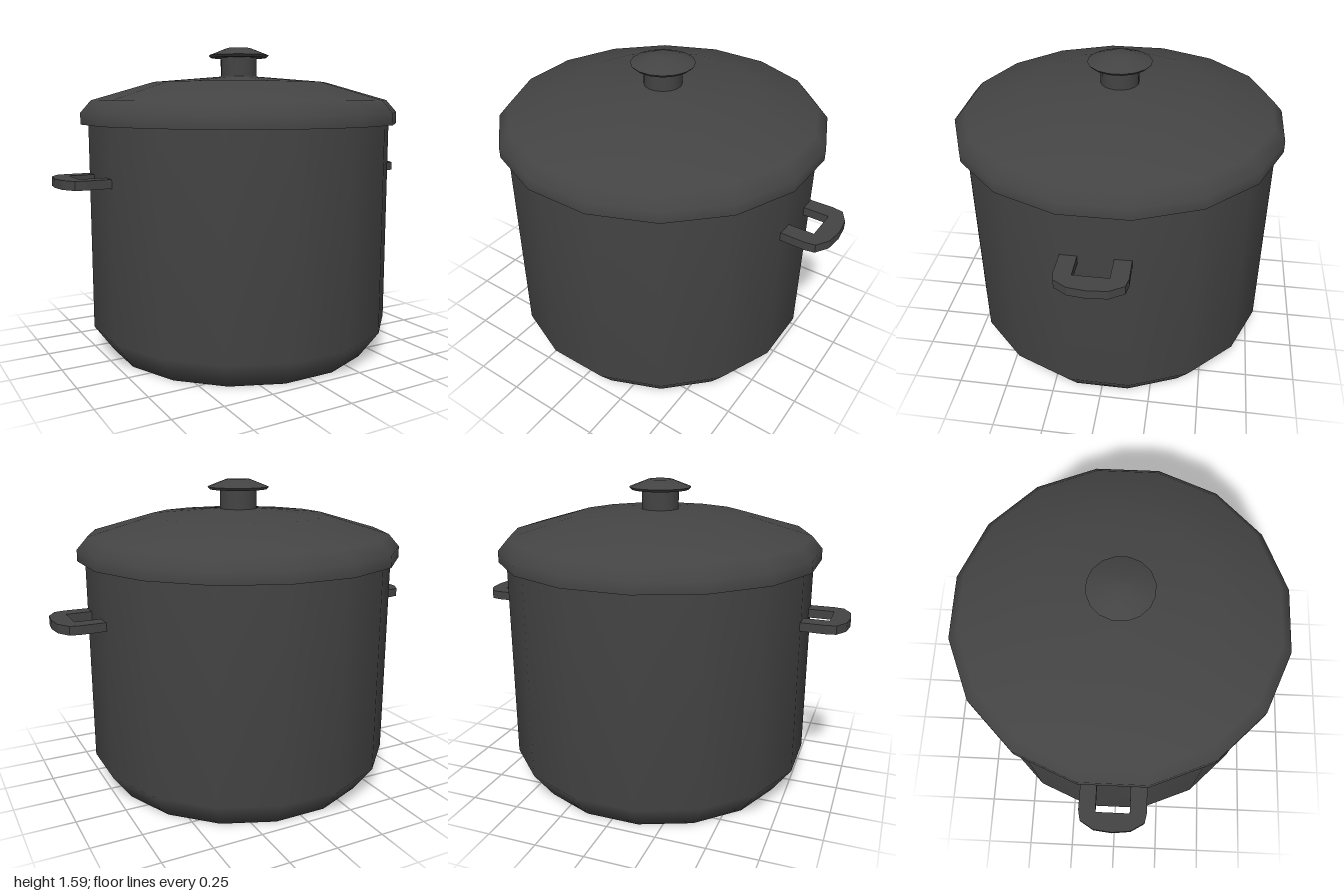
import * as THREE from 'three';

const SIDES = 16;

export function createModel() {
  const pot = new THREE.Group();
  pot.name = 'stockPot';
  const iron = new THREE.MeshStandardMaterial({ color: 0x444444 });
  iron.name = 'dark iron';

  // Revolves each profile (radius measured to the flat sides); separate profiles keep a sharp edge between them
  const turned = (name, ...profiles) => {
    const part = new THREE.Group();
    part.name = name;
    profiles.forEach((profile, i) => {
      const points = profile.map(([r, y]) => new THREE.Vector2(r / Math.cos(Math.PI / SIDES), y));
      const geometry = new THREE.LatheGeometry(points, SIDES, Math.PI / SIDES);
      const mesh = new THREE.Mesh(geometry, iron);
      mesh.name = `${name}Surface${i + 1}`;
      part.add(mesh);
    });
    pot.add(part);
  };

  // Body with a chamfered foot
  turned('body', [[0, 0], [0.68, 0], [0.78, 0.14], [0.78, 1.2]]);

  // Domed lid: flat underside, then rim and dome
  turned('lid',
    [[0, 1.192], [0.818, 1.192]],
    [[0.818, 1.192], [0.818, 1.25], [0.765, 1.312], [0.45, 1.405], [0.095, 1.435], [0, 1.436]]);

  // Knob: stem, cap underside, cap edge and cap top
  turned('knob',
    [[0.094, 1.43], [0.094, 1.535]],
    [[0.09, 1.533], [0.145, 1.533]],
    [[0.145, 1.533], [0.157, 1.546]],
    [[0.157, 1.546], [0.061, 1.584], [0, 1.585]]);

  // Flat loop handles, one per side
  const half = [[0.76, 0.163], [0.9, 0.166], [0.95, 0.156], [0.99, 0.09]];
  const innerHalf = [[0.908, 0.083], [0.76, 0.083]];
  const flip = (list) => list.map(([x, z]) => [x, -z]).reverse();
  const outline = [...half, [1, 0], ...flip(half), ...flip(innerHalf), ...innerHalf];
  const loop = new THREE.Shape(outline.map(([x, z]) => new THREE.Vector2(x, z)));
  const handleGeometry = new THREE.ExtrudeGeometry(loop, { depth: 0.044, bevelEnabled: false });
  handleGeometry.rotateX(Math.PI / 2).translate(0, 0.947, 0);
  ['leftHandle', 'rightHandle'].forEach((name, i) => {
    const handle = new THREE.Mesh(handleGeometry, iron);
    handle.name = name;
    handle.rotation.y = i * Math.PI;
    pot.add(handle);
  });

  return pot;
}
